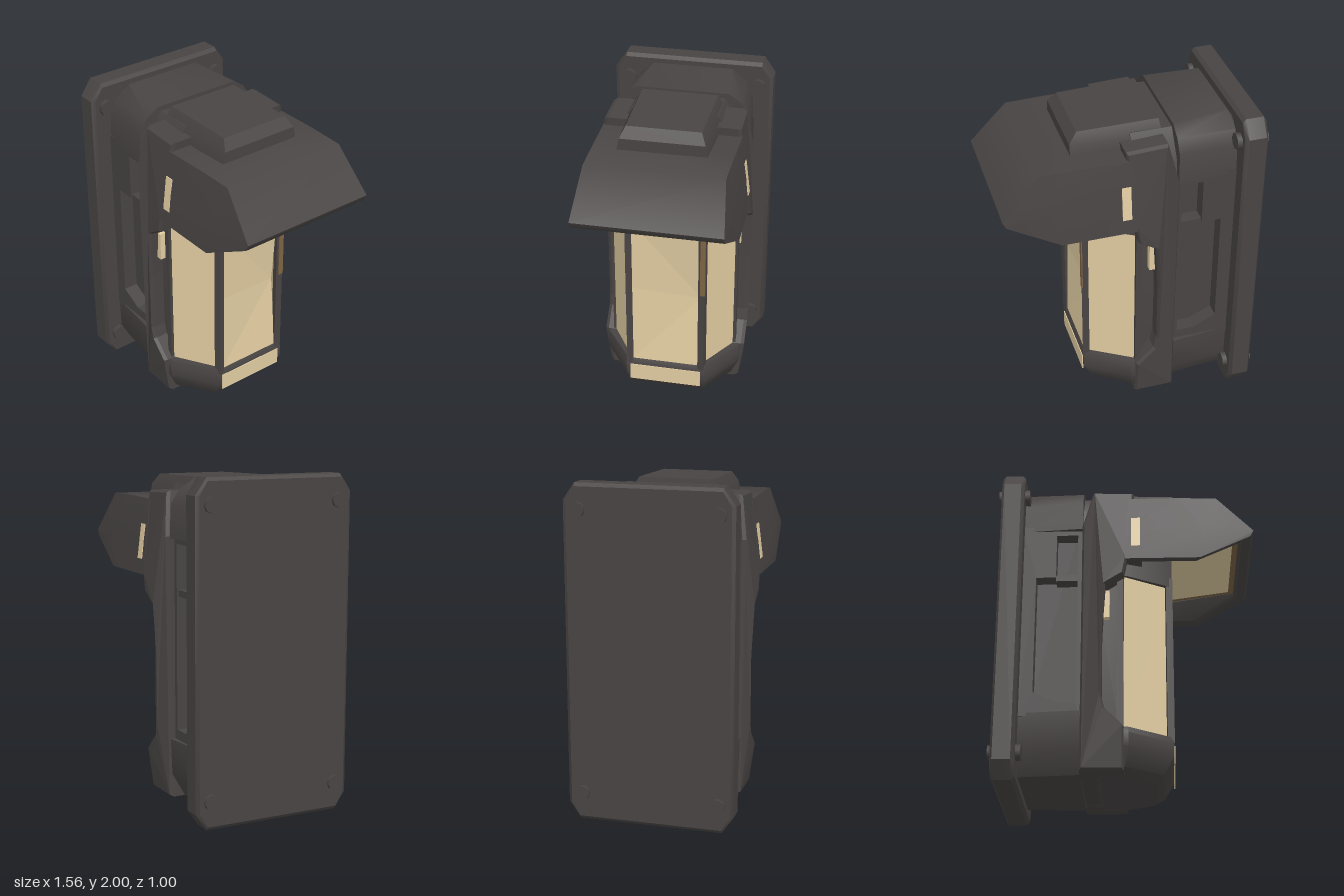
import * as THREE from 'three';
import { toCreasedNormals } from 'three/addons/utils/BufferGeometryUtils.js';
import { ConvexGeometry } from 'three/addons/geometries/ConvexGeometry.js';

export function createModel() {
  const lamp = new THREE.Group();
  const material = (name, color, side = THREE.FrontSide) =>
    new THREE.MeshStandardMaterial({ name, color, side });
  const metal = material('dark metal', 0x484443, THREE.DoubleSide);
  const glass = material('warm glass', 0xe2cda2, THREE.DoubleSide);
  const bronze = material('bronze trim', 0x7d6344);

  function add(name, geometry, mat = metal) {
    const mesh = new THREE.Mesh(geometry, mat);
    mesh.name = name;
    lamp.add(mesh);
    return mesh;
  }
  // Convex solid from points mirrored across z = 0
  function hull(name, points, mat) {
    const all = points.flatMap(([x, y, z]) => [new THREE.Vector3(x, y, z), new THREE.Vector3(x, y, -z)]);
    return add(name, toCreasedNormals(new ConvexGeometry(all), 0.6), mat);
  }
  function box(name, x0, x1, y0, y1, z0, z1, mat) {
    const mesh = add(name, new THREE.BoxGeometry(x1 - x0, y1 - y0, z1 - z0), mat);
    mesh.position.set((x0 + x1) / 2, (y0 + y1) / 2, (z0 + z1) / 2);
    return mesh;
  }
  // Triangles listed corner by corner, smoothed up to the crease angle
  function skin(name, corners, crease, mat) {
    const g = new THREE.BufferGeometry();
    g.setAttribute('position', new THREE.Float32BufferAttribute(corners.flat(), 3));
    g.computeVertexNormals();
    return add(name, toCreasedNormals(g, crease), mat);
  }
  const fan = (ring) => ring.slice(1, -1).flatMap((p, i) => [ring[0], p, ring[i + 2]]);
  // Closed loops joined into a skin, with a flat lid on the last loop
  function loft(name, rings, crease) {
    const out = [];
    for (let r = 0; r < rings.length - 1; r++) {
      const a = rings[r], b = rings[r + 1], n = a.length;
      for (let i = 0; i < n; i++) {
        const j = (i + 1) % n;
        out.push(a[i], a[j], b[j], a[i], b[j], b[i]);
      }
    }
    return skin(name, [...out, ...fan(rings[rings.length - 1])], crease);
  }
  const loop = (half) => [...half, ...half.slice().reverse().map(([x, y, z]) => [x, y, -z])];
  const outline = (pts, Type = THREE.Shape) => new Type(pts.map(([x, y]) => new THREE.Vector2(x, y)));
  const footprint = (pts, ys) => ys.flatMap((y) => pts.map(([x, z]) => [x, y, z]));

  // Wall plate: chamfered outline with softened edges
  const plate = [];
  for (const [x, d] of [[-0.76, 0.02], [-0.745, 0], [-0.64, 0], [-0.62, 0.02]]) {
    for (const [y, z] of [[d, 0.43], [0.1, 0.5 - d], [1.9, 0.5 - d], [2 - d, 0.43]]) plate.push([x, y, z]);
  }
  hull('wallPlate', plate);

  // Plate bolts
  for (const y of [0.17, 1.85]) for (const side of [1, -1]) {
    const bolt = add('plateBolt', new THREE.CylinderGeometry(0.045, 0.05, 0.19, 8));
    bolt.rotation.z = Math.PI / 2;
    bolt.position.set(-0.685, y, side * 0.41);
  }

  // Housing: narrow core with solid top and bottom ends
  box('housingCore', -0.64, -0.25, 0.15, 1.85, -0.3, 0.3);
  hull('housingTop', [
    [-0.63, 1.62, 0.385], [-0.26, 1.62, 0.42], [-0.63, 1.8, 0.375], [-0.26, 1.82, 0.41],
    [-0.63, 1.88, 0.33], [-0.26, 1.9, 0.36],
    [-0.63, 1.92, 0.27], [-0.6, 1.96, 0.25], [-0.26, 1.95, 0.28],
  ]);
  hull('housingBottom', [
    [-0.63, 0.42, 0.385], [-0.26, 0.42, 0.42], [-0.63, 0.2, 0.38], [-0.26, 0.2, 0.41],
    [-0.63, 0.06, 0.3], [-0.26, 0.06, 0.33],
  ]);

  // Side frames with a tall recessed opening
  for (const side of [1, -1]) {
    const frame = outline([[-0.63, 0.4], [-0.26, 0.4], [-0.26, 1.65], [-0.63, 1.65]]);
    frame.holes.push(outline([[-0.54, 0.55], [-0.4, 0.48], [-0.29, 0.48], [-0.29, 1.59], [-0.42, 1.59], [-0.42, 1.3], [-0.54, 1.3]], THREE.Path));
    const g = new THREE.ExtrudeGeometry(frame, { depth: 0.1, bevelEnabled: false });
    add('sideFrame', g).position.z = side > 0 ? 0.29 : -0.39;
    box('recessRib', -0.42, -0.28, 1.28, 1.32, side * 0.34 - 0.04, side * 0.34 + 0.04);
  }

  // Lantern core behind the glass
  hull('lanternCore', [
    [-0.27, 0.07, 0.33], [-0.03, 0.07, 0.33], [-0.27, 0.3, 0.36], [-0.03, 0.3, 0.36],
    [-0.27, 1.75, 0.37], [-0.01, 1.75, 0.37], [-0.27, 1.92, 0.26], [-0.01, 1.92, 0.26],
  ]);

  // Side arms, leaning inward near the top
  const armOutline = outline([
    [-0.25, 0.07], [-0.25, 1.63], [-0.19, 1.88], [0.04, 1.87], [0.0, 1.4], [-0.02, 1.29],
    [-0.13, 1.22], [-0.15, 0.9], [-0.15, 0.5], [-0.13, 0.42], [-0.02, 0.31], [-0.02, 0.07],
  ]);
  for (const side of [1, -1]) {
    const g = new THREE.ExtrudeGeometry(armOutline, {
      depth: 0.14, bevelSize: 0.012, bevelThickness: 0.02, bevelSegments: 1,
    });
    g.translate(0, 0, -0.07);
    const p = g.attributes.position;
    for (let i = 0; i < p.count; i++) {
      const y = p.getY(i);
      const lean = y > 1.45 ? (y - 1.45) * 0.15 : y < 0.25 ? (0.25 - y) * 0.25 : y < 1.2 ? 0.012 : 0;
      p.setZ(i, p.getZ(i) + side * (0.38 - lean));
    }
    g.computeVertexNormals();
    add('sideArm', g);
    box('armLight', -0.14, -0.095, 1.02, 1.2, side * 0.385 - 0.02, side * 0.385 + 0.02, glass);
  }

  // Lantern: angled side panes and a faceted, slightly sunken front pane
  const [bottom, middle, top] = [0.3, 0.81, 1.32];
  for (const side of [1, -1]) {
    skin('sidePane', fan([
      [-0.01, bottom, side * 0.385], [0.262, bottom, side * 0.22],
      [0.262, top, side * 0.22], [-0.01, top, side * 0.385],
    ]), 0.1, glass);
  }
  const tl = [0.265, top, 0.215], tr = [0.265, top, -0.215], bl = [0.265, bottom, 0.215], br = [0.265, bottom, -0.215];
  const ml = [0.25, middle + 0.02, 0.215], mr = [0.215, middle - 0.02, -0.215];
  skin('frontPane', [tl, mr, tr, tl, ml, mr, ml, bl, mr, bl, br, mr], 0.05, glass);
  for (const side of [1, -1]) {
    const post = box('cornerPost', 0.237, 0.279, 0.28, 1.36, side * 0.23 - 0.02, side * 0.23 + 0.02);
    post.rotation.y = side * 0.25;
    box('rearPost', -0.05, -0.012, 0.28, 1.36, side * 0.39 - 0.012, side * 0.39 + 0.012);
  }
  box('postTrim', 0.277, 0.284, 0.85, 1.28, -0.25, -0.218, bronze);

  // Lantern cap with a lit lower edge and a bronze band
  hull('lanternCap', footprint([[-0.06, 0.4], [0, 0.4], [0.28, 0.24]], [1.3, 1.54]));
  box('capGlow', 0.279, 0.284, 1.3, 1.34, -0.205, 0.205, glass);
  box('capBand', 0.279, 0.285, 1.355, 1.45, -0.23, 0.23, bronze);

  // Base tray with a glowing front strip
  hull('baseTray', [
    ...footprint([[-0.2, 0.43], [0.02, 0.42], [0.26, 0.25]], [0.315]),
    ...footprint([[-0.2, 0.43], [0.02, 0.43], [0.28, 0.25]], [0.28, 0.2]),
    ...footprint([[-0.2, 0.38], [0, 0.38], [0.22, 0.23]], [0.09]),
    ...footprint([[-0.14, 0.3], [0, 0.28], [0.15, 0.2]], [0.045]),
  ]);
  box('baseStrip', 0.278, 0.285, 0.16, 0.27, -0.225, 0.225, glass);

  // Hood: shallow hollow below, from the ceiling edge around the rim to the roof
  loft('hood', [
    loop([[0.1, 1.47, 0.36], [0.3, 1.505, 0.36], [0.69, 1.56, 0.35]]),
    loop([[0.1, 1.39, 0.41], [0.43, 1.39, 0.41], [0.71, 1.535, 0.375]]),
    loop([[0, 1.38, 0.472], [0.45, 1.38, 0.472], [0.76, 1.54, 0.437]]),
    loop([[0, 1.58, 0.45], [0.47, 1.6, 0.455], [0.78, 1.58, 0.437]]),
    loop([[0.02, 1.83, 0.415], [0.32, 1.835, 0.41], [0.56, 1.83, 0.405]]),
  ], 0.95);
  // Lit ceiling set in a bronze surround
  const ceiling = (x0, x1, z, drop) => {
    const y = (x) => 1.505 + (x - 0.3) * 0.141 - drop;
    return fan(loop([[x0, y(x0), z], [x1, y(x1), z]]));
  };
  skin('ceilingTrim', ceiling(0.22, 0.69, 0.35, 0), 0.1, bronze).material.side = THREE.DoubleSide;
  skin('hoodLight', ceiling(0.26, 0.655, 0.31, 0.006), 0.1, glass);
  for (const side of [1, -1]) {
    const slit = box('hoodSlit', 0.035, 0.09, 1.47, 1.68, side * 0.4515 - 0.003, side * 0.4515 + 0.003, glass);
    slit.rotation.x = -side * 0.125;
  }

  // Raised block on the roof
  hull('roofBlock', [
    [-0.2, 1.8, 0.28], [0.34, 1.8, 0.27], [-0.2, 1.88, 0.28], [0.34, 1.9, 0.25],
    [-0.19, 1.97, 0.23], [0.29, 1.96, 0.22],
  ]);

  return lamp;
}
